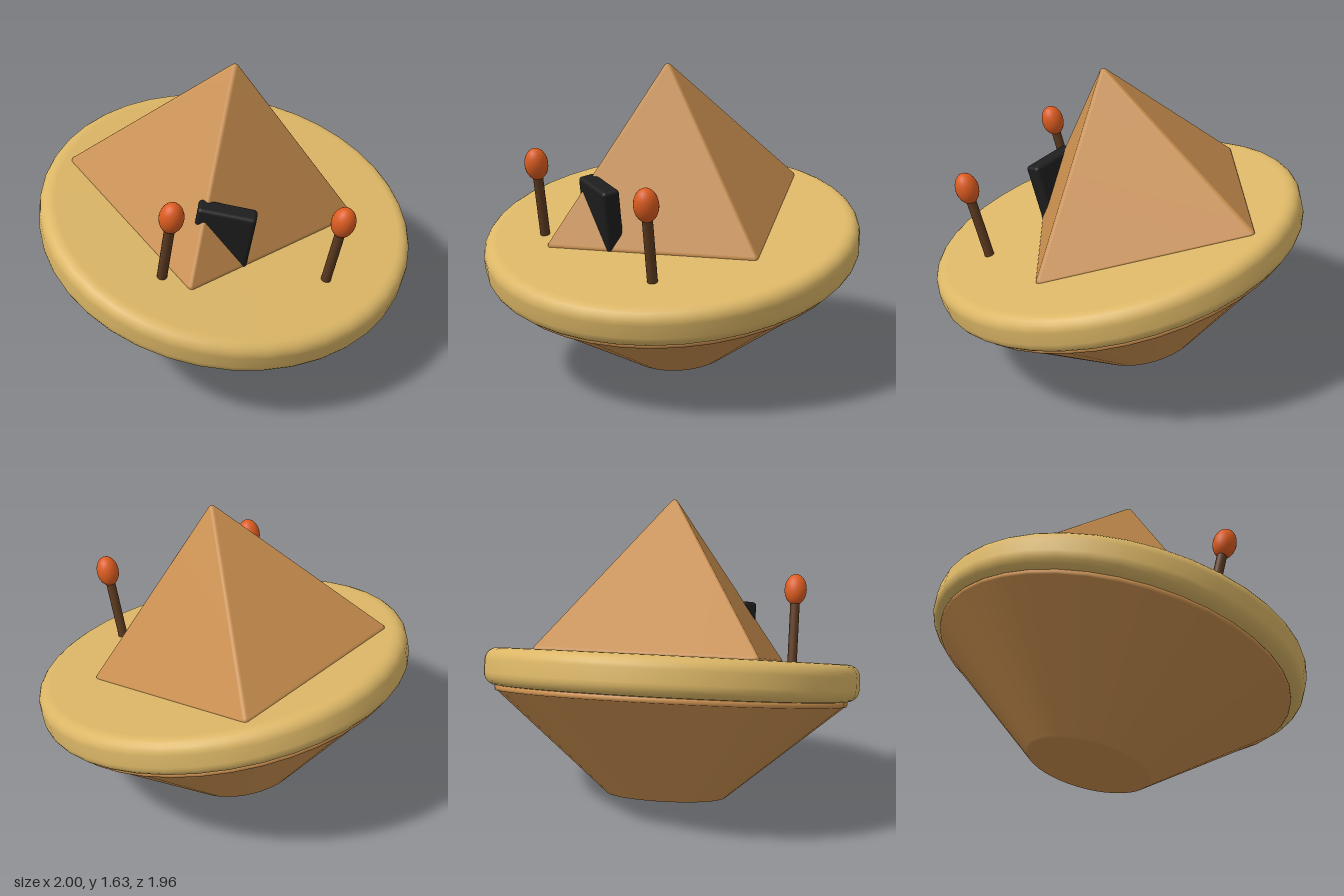
import * as THREE from 'three';
import { ConvexGeometry } from 'three/addons/geometries/ConvexGeometry.js';
import { RoundedBoxGeometry } from 'three/addons/geometries/RoundedBoxGeometry.js';
import { mergeVertices } from 'three/addons/utils/BufferGeometryUtils.js';

const mat = (name, color) => {
  const m = new THREE.MeshStandardMaterial({ color });
  m.name = name;
  return m;
};

// points of a rounded profile corner, angles in degrees
function arc(cx, cy, r, from, to, steps = 5) {
  const pts = [];
  for (let i = 0; i <= steps; i++) {
    const a = THREE.MathUtils.degToRad(from + ((to - from) * i) / steps);
    pts.push(new THREE.Vector2(cx + r * Math.cos(a), cy + r * Math.sin(a)));
  }
  return pts;
}

// pyramid with softly rounded edges: hull of small spheres at its corners
function softPyramid(half, base, tip, r) {
  const corners = [[0, tip, 0]];
  for (const x of [-half, half]) for (const z of [-half, half]) corners.push([x, base, z]);
  const ball = new THREE.SphereGeometry(r, 10, 8).getAttribute('position');
  const pts = [];
  for (const c of corners) {
    for (let i = 0; i < ball.count; i++) {
      pts.push(new THREE.Vector3().fromBufferAttribute(ball, i).add(new THREE.Vector3(...c)));
    }
  }
  const hull = new ConvexGeometry(pts);
  hull.deleteAttribute('normal');
  const geo = mergeVertices(hull, 1e-4);
  geo.computeVertexNormals();
  return geo;
}

export function createModel() {
  const ochre = mat('ochre', 0xc88e4e);
  const sand = mat('sand', 0xdbb666);
  const darkWood = mat('dark wood', 0x5c3a20);
  const orange = mat('orange', 0xdc5c20);
  const black = mat('black', 0x1e1e1e);

  const model = new THREE.Group();
  model.name = 'tiltedIsland';
  const tilted = new THREE.Group();
  tilted.name = 'tiltedBody';
  tilted.rotation.x = THREE.MathUtils.degToRad(14);
  model.add(tilted);

  const add = (name, geo, material, x, y, z) => {
    const mesh = new THREE.Mesh(geo, material);
    mesh.name = name;
    mesh.position.set(x, y, z);
    tilted.add(mesh);
    return mesh;
  };
  const V = (x, y) => new THREE.Vector2(x, y);
  const centreZ = -0.167;

  // tapered underside with softened foot and rim
  const cone = [
    V(0, 0.04), V(0.305, 0.04),
    ...arc(0.31, 0.06, 0.02, -90, -42, 3),
    V(0.332, 0.053), V(0.928, 0.562),
    ...arc(0.922, 0.577, 0.02, -42, 90, 4),
    V(0.9, 0.597), V(0, 0.597),
  ];
  add('underside', new THREE.LatheGeometry(cone, 40), ochre, 0, 0, centreZ);

  // thick disc with rounded edges
  const disc = [
    V(0, 0.59), V(0.925, 0.59),
    ...arc(0.935, 0.655, 0.065, -90, 0),
    ...arc(0.935, 0.72, 0.065, 0, 90),
    V(0.925, 0.785), V(0, 0.785),
  ];
  add('disc', new THREE.LatheGeometry(disc, 40), sand, 0, 0, centreZ);

  // pyramid set toward the back
  add('pyramid', softPyramid(0.532, 0.785, 1.585, 0.022), ochre, 0, 0, -0.32);

  // slanted door leaf cutting into the front face
  const door = add('door', new RoundedBoxGeometry(0.295, 0.345, 0.095, 3, 0.02), black, -0.282, 0.932, 0.107);
  door.rotation.y = -Math.PI / 4;

  // torches: post with an egg-shaped flame
  for (const [x, z] of [[-0.62, 0.083], [0.1, 0.515]]) {
    add('torchPost', new THREE.CylinderGeometry(0.026, 0.026, 0.39, 16), darkWood, x, 0.965, z);
    const flame = add('torchFlame', new THREE.SphereGeometry(0.061, 24, 16), orange, x, 1.185, z);
    flame.scale.y = 1.4;
  }
  return model;
}
